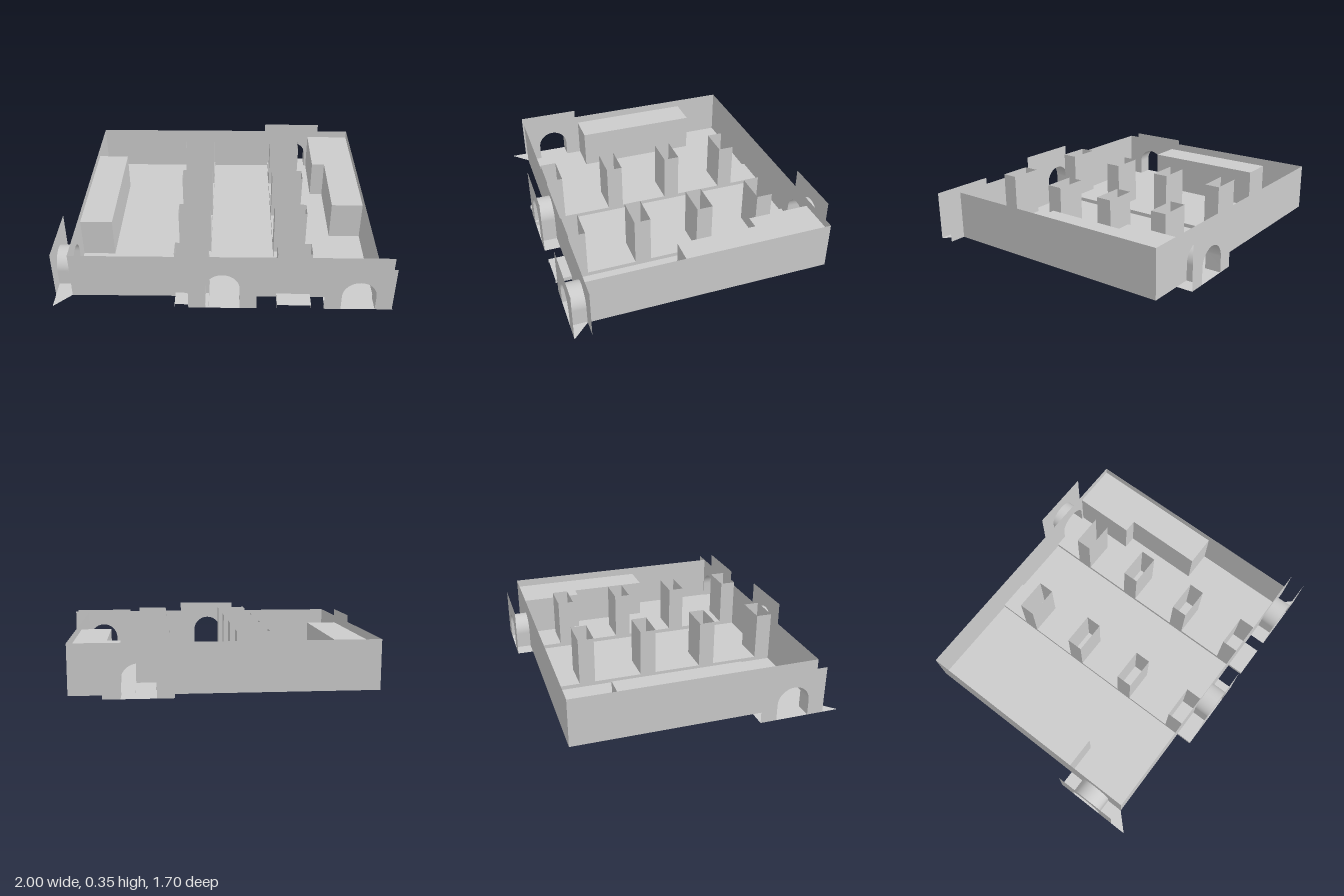
import * as THREE from 'three';

const grey = new THREE.MeshStandardMaterial({ color: 0xcccccc, side: THREE.DoubleSide });
const HX = 0.9, HZ = 0.75, PORCH = 0.1, WALL = 0.3, R = 0.1, ARC = 24;

function add(parent, name, geometry) {
  const mesh = new THREE.Mesh(geometry, grey);
  mesh.name = name;
  parent.add(mesh);
  return mesh;
}

// Outline of an arched opening from its left foot to its right foot
function archPoints(cx, top) {
  const pts = [new THREE.Vector2(cx - R, 0)];
  for (let i = 0; i <= ARC; i++) {
    const a = Math.PI * (1 - i / ARC);
    pts.push(new THREE.Vector2(cx + R * Math.cos(a), top - R + R * Math.sin(a)));
  }
  pts.push(new THREE.Vector2(cx + R, 0));
  return pts;
}

// Thin upright sheet with arched doorways, doors listed left to right
function sheet(x0, x1, height, z, doors) {
  const pts = [new THREE.Vector2(x0, 0)];
  doors.forEach(d => pts.push(...archPoints(d.x, d.top)));
  pts.push(new THREE.Vector2(x1, 0), new THREE.Vector2(x1, height), new THREE.Vector2(x0, height));
  return new THREE.ShapeGeometry(new THREE.Shape(pts)).translate(0, 0, z);
}

// Curved lining joining the wall opening to the outer panel opening
function lining(door, z0, z1) {
  const pts = archPoints(door.x, door.top);
  const geo = new THREE.PlaneGeometry(1, 1, pts.length - 1, 1);
  const pos = geo.attributes.position;
  for (let i = 0; i < pos.count; i++) {
    const p = pts[i % pts.length];
    pos.setXYZ(i, p.x, p.y, i < pts.length ? z0 : z1);
  }
  geo.computeVertexNormals();
  return geo;
}

// A wall with its doorways; each has a free-standing panel in front
function wallWithDoors(name, x0, x1, z, doors) {
  const group = new THREE.Group();
  group.name = name;
  add(group, name + 'Sheet', sheet(x0, x1, WALL, z, doors));
  const outer = z + Math.sign(z) * PORCH;
  doors.forEach(d => {
    add(group, 'doorPanel', sheet(d.x - 0.2, d.x + 0.2, d.panel, outer, [d]));
    add(group, 'doorLining', lining(d, z, outer));
  });
  return group;
}

// Flat shape on the ground plane, given as [x, z] pairs
const groundShape = pts => new THREE.Shape(pts.map(([x, z]) => new THREE.Vector2(x, -z)));

export function createModel() {
  const model = new THREE.Group();
  model.name = 'hall';

  // Floor, including the thresholds outside each door
  add(model, 'floor', new THREE.ShapeGeometry(groundShape([
    [-HX, -HZ], [0.3, -HZ], [0.3, -0.85], [0.7, -0.85], [0.7, -HZ], [HX, -HZ],
    [HX, HZ], [1, 0.85], [0.6, 0.85], [0.6, HZ], [0.2, HZ], [0.2, 0.85],
    [-0.2, 0.85], [-0.2, HZ], [-HX, HZ], [-1, 0.85], [-1, 0.35], [-HX, 0.35],
  ])).rotateX(-Math.PI / 2));

  // Walls
  model.add(wallWithDoors('frontWall', -HX, 1, HZ, [
    { x: 0, top: 0.25, panel: 0.35 },
    { x: 0.793, top: 0.2, panel: WALL },
  ]));
  model.add(wallWithDoors('backWall', -HX, HX, -HZ, [{ x: 0.5, top: 0.2, panel: WALL }]));
  const rightWall = wallWithDoors('rightWall', -HZ, HZ, HX, [{ x: 0.55, top: 0.2, panel: WALL }]);
  rightWall.rotation.y = -Math.PI / 2;
  model.add(rightWall);
  add(model, 'leftWall', new THREE.PlaneGeometry(2 * HZ, WALL)
    .rotateY(Math.PI / 2).translate(HX, WALL / 2, 0));

  // Raised platforms along the side walls
  const platforms = {
    rightPlatform: [[-HX, -0.45], [-0.7, -0.45], [-0.7, 0.35], [-HX, 0.35]],
    leftPlatform: [[0.615, -HZ], [HX, -HZ], [HX, 0.145], [0.7, 0.145], [0.7, -0.355], [0.615, -0.355]],
  };
  for (const [name, pts] of Object.entries(platforms)) {
    add(model, name, new THREE.ExtrudeGeometry(groundShape(pts), { depth: 0.25, bevelEnabled: false })
      .rotateX(-Math.PI / 2));
  }

  // Two low strips, each carrying a row of hollow open-topped pillars
  const stripTop = 0.025, width = 0.2, length = HZ + 0.85;
  for (const x of [-0.18, 0.42]) {
    const row = new THREE.Group();
    row.name = 'pillarRow';
    row.position.x = x;
    model.add(row);
    add(row, 'stripTop', new THREE.PlaneGeometry(width, length)
      .rotateX(-Math.PI / 2).translate(0, stripTop, 0.05));
    for (const s of [-1, 1]) {
      add(row, 'stripSide', new THREE.PlaneGeometry(length, stripTop)
        .rotateY(s * Math.PI / 2).translate(s * width / 2, stripTop / 2, 0.05));
    }
    for (const z of [0.7, 0.3, -0.1, -0.5]) {
      const pillar = new THREE.Group();
      pillar.name = 'pillar';
      pillar.position.set(0, stripTop + 0.15, z);
      row.add(pillar);
      for (const s of [-1, 1]) {
        const turn = s > 0 ? 0 : Math.PI;
        add(pillar, 'pillarBroadSide', new THREE.PlaneGeometry(width, 0.3)
          .rotateY(turn).translate(0, 0, s * 0.05));
        add(pillar, 'pillarNarrowSide', new THREE.PlaneGeometry(0.1, 0.3)
          .rotateY(s * Math.PI / 2).translate(s * width / 2, 0, 0));
      }
    }
  }
  return model;
}
